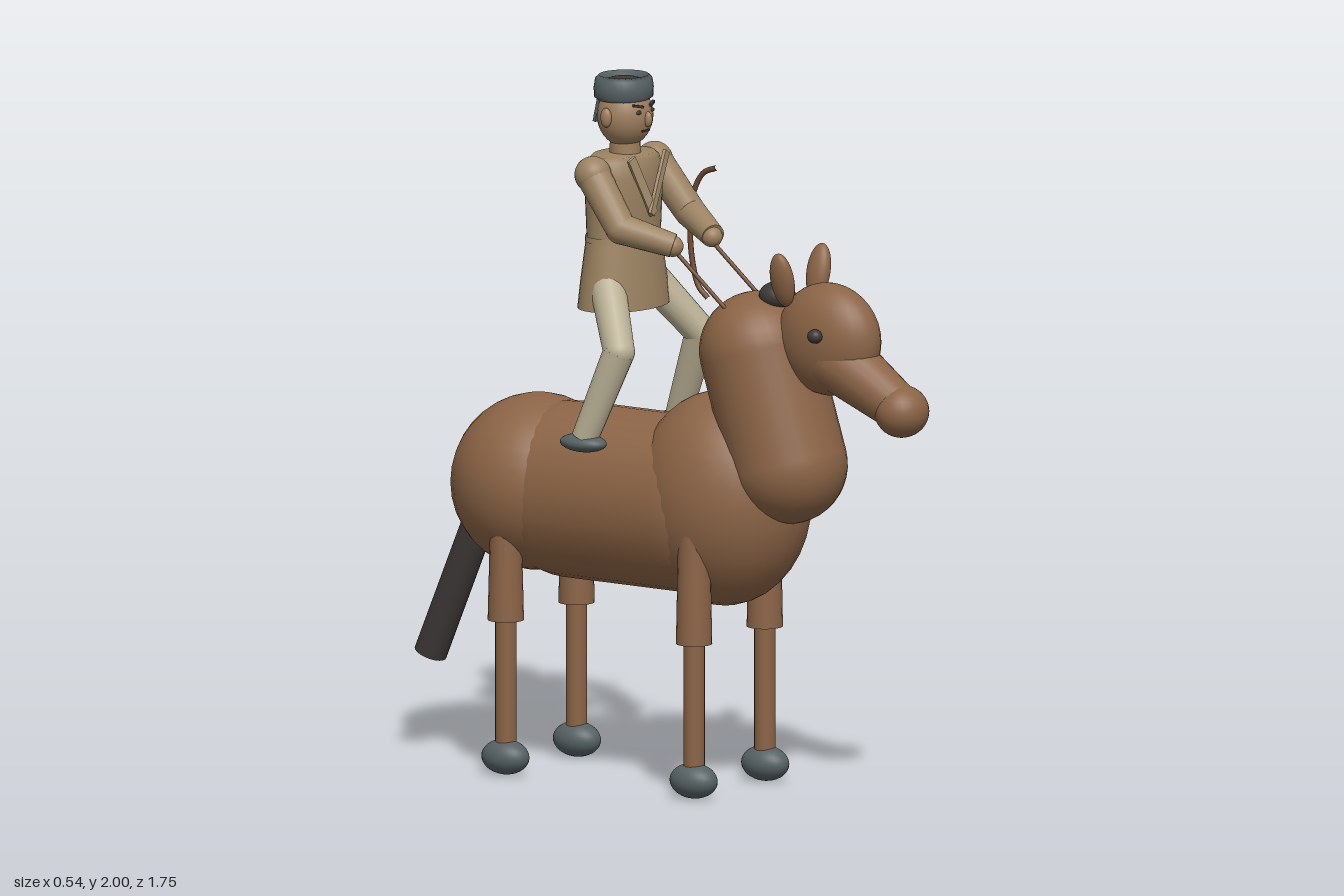
import * as THREE from 'three';

const mat = (name, color, side = THREE.FrontSide) => {
  const m = new THREE.MeshStandardMaterial({ color, side });
  m.name = name;
  return m;
};
const V = (x, y, z) => new THREE.Vector3(x, y, z);

export function createModel() {
  const root = new THREE.Group();
  root.name = 'horseAndRider';
  const coat = mat('horse coat', 0x8b6446);
  const dark = mat('dark hair', 0x3d3937);
  const slate = mat('slate', 0x566163);
  const cloth = mat('robe cloth', 0x9c8362, THREE.DoubleSide);
  const skin = mat('skin', 0x9f7f5e);
  const cream = mat('trousers', 0xbab195);
  const wood = mat('wood and leather', 0x6e4a30);
  const trim = mat('lapel', 0xad9674);

  const horse = new THREE.Group(), rider = new THREE.Group();
  horse.name = 'horse';
  rider.name = 'rider';
  root.add(horse, rider);

  const add = (parent, name, geo, material) => {
    const m = new THREE.Mesh(geo, material);
    m.name = name;
    parent.add(m);
    return m;
  };
  // Ellipsoid at p with radii r
  const ball = (parent, name, p, r, material) => {
    const m = add(parent, name, new THREE.SphereGeometry(1, 28, 18), material);
    m.position.set(...p);
    m.scale.set(...r);
    return m;
  };
  // Tapered round bar from a to b
  const bar = (parent, name, a, b, ra, rb, material) => {
    const from = V(...a), to = V(...b), d = to.clone().sub(from);
    const m = add(parent, name, new THREE.CylinderGeometry(rb, ra, d.length(), 20), material);
    m.position.copy(from).addScaledVector(d, 0.5);
    m.quaternion.setFromUnitVectors(V(0, 1, 0), d.normalize());
    return m;
  };
  const box = (parent, name, p, s, material, rot = [0, 0, 0]) => {
    const m = add(parent, name, new THREE.BoxGeometry(...s), material);
    m.position.set(...p);
    m.rotation.set(...rot);
    return m;
  };

  // Horse trunk
  const barrel = add(horse, 'barrel', new THREE.CapsuleGeometry(0.25, 0.42, 10, 28), coat);
  barrel.rotation.x = Math.PI / 2;
  barrel.scale.x = 0.9;
  barrel.position.set(0, 0.8, -0.13);
  ball(horse, 'rump', [0, 0.81, -0.46], [0.25, 0.25, 0.245], coat);
  ball(horse, 'chest', [0, 0.83, 0.18], [0.225, 0.305, 0.26], coat);

  // Neck and head
  const neck = add(horse, 'neck', new THREE.CapsuleGeometry(0.168, 0.33, 10, 28), coat);
  neck.position.set(0, 1.105, 0.352);
  neck.rotation.x = -0.31;
  ball(horse, 'horseHead', [0, 1.32, 0.545], [0.1, 0.16, 0.165], coat);
  bar(horse, 'muzzle', [0, 1.27, 0.57], [0, 1.145, 0.79], 0.095, 0.066, coat);
  ball(horse, 'nose', [0, 1.14, 0.795], [0.08, 0.074, 0.076], coat);
  ball(horse, 'forelock', [0, 1.425, 0.365], [0.052, 0.04, 0.052], dark);
  bar(horse, 'tail', [0, 0.72, -0.645], [0, 0.281, -0.832], 0.047, 0.047, dark);

  for (const s of [-1, 1]) {
    ball(horse, 'horseEar', [s * 0.087, 1.49, 0.445], [0.026, 0.08, 0.037], coat).rotation.z = -s * 0.25;
    ball(horse, 'horseEye', [s * 0.105, 1.345, 0.57], [0.02, 0.02, 0.022], dark);
    // Legs
    for (const [z, top] of [[0.2, 0.8], [-0.45, 0.72]]) {
      bar(horse, 'upperLeg', [s * 0.17, 0.44, z], [s * 0.17, top, z], 0.051, 0.044, coat);
      bar(horse, 'lowerLeg', [s * 0.17, 0.07, z], [s * 0.17, 0.46, z], 0.03, 0.03, coat);
      ball(horse, 'hoof', [s * 0.172, 0.05, z], [0.053, 0.05, 0.074], slate);
    }
    // Reins
    bar(horse, 'rein', [s * 0.09, 1.54, 0.07], [s * 0.09, 1.385, 0.255], 0.006, 0.006, wood);
  }

  // Robe
  const profile = [[0.162, 1.345], [0.152, 1.42], [0.134, 1.53], [0.13, 1.55], [0.135, 1.65],
    [0.138, 1.72], [0.125, 1.765], [0.11, 1.777], [0.04, 1.78]];
  const robe = add(rider, 'robe', new THREE.LatheGeometry(profile.map(p => new THREE.Vector2(...p)), 32), cloth);
  robe.scale.z = 0.68;
  robe.position.z = -0.165;
  const belt = add(rider, 'belt', new THREE.CylinderGeometry(0.134, 0.136, 0.016, 32, 1, true), cloth);
  belt.scale.z = 0.68;
  belt.position.set(0, 1.542, -0.165);
  for (const s of [-1, 1])
    box(rider, 'lapel', [s * 0.037, 1.695, s > 0 ? -0.07 : -0.074], [0.028, 0.19, 0.009], trim, [0.02, s * 0.18, -s * 0.5]);

  // Limbs
  for (const s of [-1, 1]) {
    const shoulder = [s * 0.148, 1.735, -0.165], elbow = [s * 0.166, 1.595, -0.055], wrist = [s * 0.095, 1.55, 0.075];
    ball(rider, 'shoulder', shoulder, [0.052, 0.052, 0.052], cloth);
    bar(rider, 'upperSleeve', shoulder, elbow, 0.049, 0.044, cloth);
    ball(rider, 'elbow', elbow, [0.044, 0.044, 0.044], cloth);
    bar(rider, 'lowerSleeve', elbow, wrist, 0.044, 0.034, cloth);
    ball(rider, 'hand', [s * 0.094, 1.548, 0.072], [0.03, 0.03, 0.03], skin);

    const hip = [s * 0.09, 1.43, -0.16], knee = [s * 0.197, 1.25, -0.04], ankle = [s * 0.225, 1.0, -0.137];
    bar(rider, 'thigh', hip, knee, 0.052, 0.045, cream);
    ball(rider, 'knee', knee, [0.045, 0.045, 0.045], cream);
    bar(rider, 'shin', knee, ankle, 0.045, 0.038, cream);
    ball(rider, 'foot', [s * 0.225, 0.985, -0.143], [0.046, 0.026, 0.074], slate);
  }

  // Head and face
  bar(rider, 'riderNeck', [0, 1.75, -0.16], [0, 1.84, -0.16], 0.045, 0.042, skin);
  ball(rider, 'riderHead', [0, 1.885, -0.16], [0.082, 0.09, 0.078], skin);
  for (const s of [-1, 1]) {
    ball(rider, 'riderEar', [s * 0.085, 1.888, -0.165], [0.013, 0.028, 0.017], skin);
    ball(rider, 'riderEye', [s * 0.031, 1.902, -0.09], [0.011, 0.006, 0.005], dark);
    box(rider, 'eyebrow', [s * 0.033, 1.92, -0.091], [0.034, 0.007, 0.009], dark, [0, s * 0.35, s * 0.2]);
  }
  ball(rider, 'riderNose', [0, 1.88, -0.082], [0.011, 0.022, 0.014], skin);
  box(rider, 'mouth', [0, 1.847, -0.09], [0.034, 0.005, 0.008], dark);

  // Headband with loose end, hair showing at the crown
  const band = [[0.076, 1.93], [0.088, 1.938], [0.089, 1.965], [0.085, 1.99], [0.074, 2], [0.068, 1.98]];
  const wrap = add(rider, 'headband', new THREE.LatheGeometry(band.map(p => new THREE.Vector2(...p)), 28), slate);
  wrap.position.z = -0.165;
  wrap.scale.z = 0.92;
  ball(rider, 'hair', [0, 1.96, -0.165], [0.078, 0.035, 0.072], dark);
  box(rider, 'bandKnot', [0, 1.957, -0.245], [0.024, 0.026, 0.016], slate);
  box(rider, 'bandEnd', [0, 1.905, -0.25], [0.02, 0.1, 0.009], slate, [0.22, 0, 0]);

  // Bow carried at the left side
  const bow = [[0.022, 1.725], [-0.025, 1.705], [-0.06, 1.64], [-0.07, 1.54], [-0.06, 1.44], [-0.04, 1.38], [-0.008, 1.35]];
  const curve = new THREE.CatmullRomCurve3(bow.map(([z, y]) => V(0.187, y, z)));
  add(rider, 'bow', new THREE.TubeGeometry(curve, 32, 0.008, 8), wood);
  return root;
}
